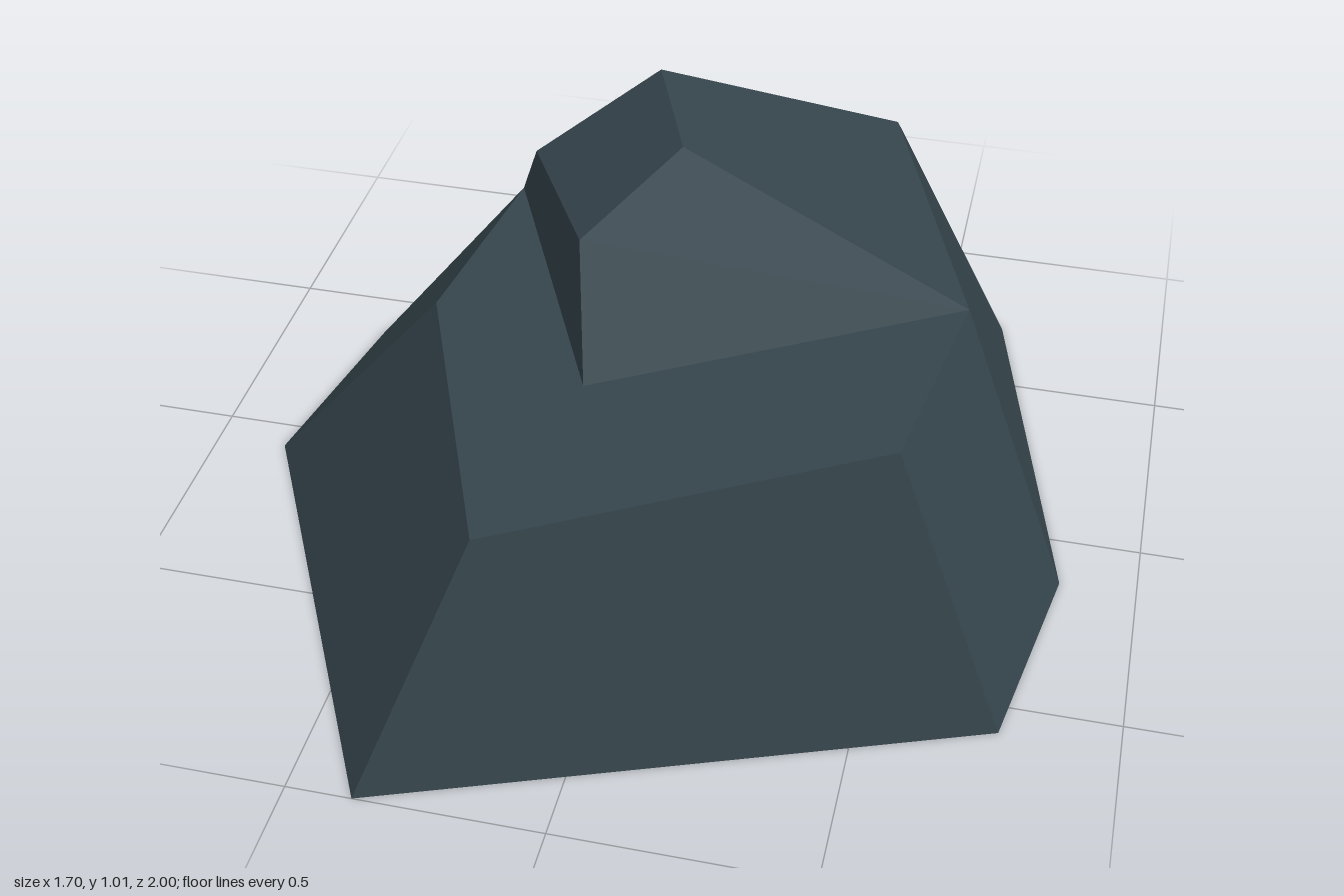
import * as THREE from 'three';

// Corners of the boulder: base ring, shoulder, lower back, crest
const P = {
  // base ring, counter-clockwise from the front left
  A: [-0.37, 0, 1.0], B: [0.77, 0, 0.57], C: [0.845, 0, 0.13], D: [0.635, 0, -0.71],
  E: [0.35, 0, -1.0], F: [-0.605, 0, -0.64], G: [-0.77, 0, -0.37], H: [-0.85, 0, 0.07],
  // shoulder
  a: [-0.15, 0.575, 0.88], b: [0.55, 0.69, 0.62], c: [0.615, 0.69, 0.18],
  d: [0.385, 0.675, -0.475], t: [-0.365, 0.565, -0.215], h: [-0.42, 0.565, 0.22],
  // lower back slope
  e: [0.11, 0.355, -0.77], f: [-0.27, 0.255, -0.6],
  // crest
  u: [-0.065, 0.585, 0.435], r: [-0.08, 0.875, 0.38], p: [0.08, 1.01, 0.24],
  q: [-0.06, 0.91, -0.185], s: [-0.275, 0.79, -0.02],
};

// Each face is a polygon fanned from its first corner, chosen so the split bulges outward
const PARTS = {
  rockWalls: ['ABba', 'BCcb', 'DdcC', 'dDEe', 'eEFf', 'FGtf', 'HhtG', 'HAah'],
  backSlope: ['eftd'],
  frontLedge: ['uthabc'],
  crest: ['turs', 'cpru', 'dqpc', 'pqsr', 'qdts'],
};

// One shared normal per polygon keeps each slightly warped face evenly shaded
function facets(faces) {
  const positions = [];
  const normals = [];
  for (const face of faces) {
    const corners = [...face].map((key) => new THREE.Vector3(...P[key]));
    const normal = new THREE.Vector3();
    for (let i = 1; i < corners.length - 1; i++) {
      const first = corners[i].clone().sub(corners[0]);
      const second = corners[i + 1].clone().sub(corners[0]);
      normal.add(first.cross(second));
      for (const corner of [corners[0], corners[i], corners[i + 1]]) positions.push(...corner);
    }
    normal.normalize();
    for (let i = 0; i < 3 * (corners.length - 2); i++) normals.push(...normal);
  }
  const geometry = new THREE.BufferGeometry();
  geometry.setAttribute('position', new THREE.Float32BufferAttribute(positions, 3));
  geometry.setAttribute('normal', new THREE.Float32BufferAttribute(normals, 3));
  return geometry;
}

export function createModel() {
  const rock = new THREE.Group();
  rock.name = 'rock';
  // The shell is open underneath, so both sides show
  const slate = new THREE.MeshStandardMaterial({ color: 0x37474f, side: THREE.DoubleSide });
  slate.name = 'slate';
  for (const [name, faces] of Object.entries(PARTS)) {
    const mesh = new THREE.Mesh(facets(faces), slate);
    mesh.name = name;
    rock.add(mesh);
  }
  return rock;
}
